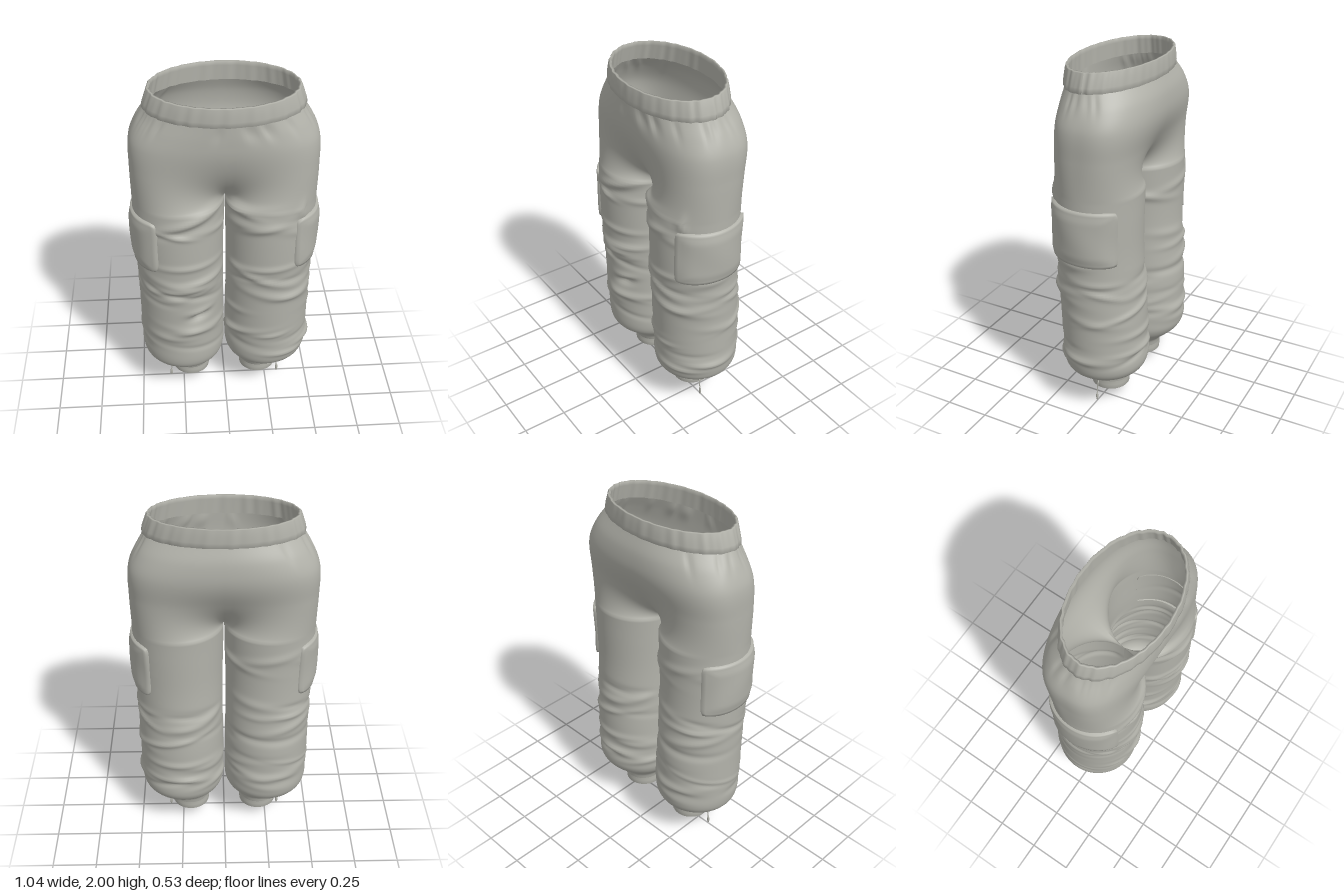
import * as THREE from 'three';

const fabric = new THREE.MeshStandardMaterial({ color: 0xb2b2aa, side: THREE.DoubleSide });
fabric.name = 'greyFabric';

// Leg profile from ankle to waist: y, outer x, inner x, front z, back z, roundness at the hips
const PROFILE = [
  [0.13, 0.308, 0.096, 0.088, -0.128, 0.7],
  [0.17, 0.325, 0.082, 0.108, -0.14, 0.7],
  [0.21, 0.405, 0.05, 0.16, -0.188, 0.7],
  [0.25, 0.462, 0.02, 0.205, -0.23, 0.7],
  [0.3, 0.482, 0.005, 0.222, -0.252, 0.7],
  [0.4, 0.487, 0.004, 0.225, -0.248, 0.7],
  [0.6, 0.487, 0.006, 0.234, -0.248, 0.7],
  [0.8, 0.489, 0.008, 0.241, -0.234, 0.7],
  [1.0, 0.494, 0.008, 0.249, -0.223, 0.7],
  [1.2, 0.498, 0.004, 0.252, -0.224, 0.7],
  [1.35, 0.498, 0.001, 0.248, -0.227, 0.7],
  [1.55, 0.5, 0, 0.248, -0.24, 0.7],
  [1.7, 0.495, 0, 0.25, -0.261, 0.75],
  [1.8, 0.457, 0, 0.253, -0.256, 0.86],
  [1.89, 0.405, 0, 0.252, -0.226, 1],
];
const BAND_TILT = 0.07;
const clamp = (v) => Math.min(1, Math.max(0, v));
const smooth = (v) => { v = clamp(v); return v * v * (3 - 2 * v); };

function seeded(seed) {
  return () => {
    seed = (seed * 1664525 + 1013904223) % 4294967296;
    return seed / 4294967296;
  };
}

// Smooth interpolation of the profile rows
function profileAt(y) {
  let i = 0;
  while (i < PROFILE.length - 2 && y > PROFILE[i + 1][0]) i++;
  const p = PROFILE[i], q = PROFILE[i + 1];
  const o = PROFILE[Math.max(0, i - 1)], r = PROFILE[Math.min(PROFILE.length - 1, i + 2)];
  const h = q[0] - p[0], t = clamp((y - p[0]) / h);
  return p.map((a, k) => {
    const m0 = ((q[k] - o[k]) / (q[0] - o[0])) * h;
    const m1 = ((r[k] - a) / (r[0] - p[0])) * h;
    const d = q[k] - a;
    return a + m0 * t + (3 * d - 2 * m0 - m1) * t * t + (m0 + m1 - 2 * d) * t * t * t;
  });
}

// Point on one trouser half; phi runs round the leg from the inner front to the inner back.
// Above the crotch the closed leg ring opens out into half of the hip ring.
function legPoint(phi, y, offset) {
  const [, xo, xi, zf, zb, e] = profileAt(y);
  const s = clamp((y - 1.34) / 0.4);
  const w = Math.pow(1 - (1 - s) * (1 - s), 0.75);
  const cx = (xo + xi) / 2, rx = (xo - xi) / 2, zc = (zf + zb) / 2, rz = (zf - zb) / 2;
  const c = Math.max(0, Math.cos(phi / 2)), sn = Math.sin(phi / 2);
  const hipX = xo * Math.pow(c, e), hipZ = Math.sign(sn) * Math.pow(Math.abs(sn), e) * rz;
  const x = (cx + rx * Math.cos(phi)) * (1 - w) + hipX * w;
  const z = rz * Math.sin(phi) * (1 - w) + hipZ * w;
  const dx = x - cx * (1 - w), len = Math.hypot(dx, z) || 1;
  const px = Math.max(xi * 0.5, x + (offset * dx) / len), pz = zc + z + (offset * z) / len;
  const seam = Math.abs(phi) > Math.PI - 1e-4 && w > 0;
  return [seam ? 0 : px, y - BAND_TILT * pz * smooth((y - 1.6) / 0.28), pz];
}

// Grid surface from a rule f(u, v); side = -1 mirrors it in x
function surface(nu, nv, f, side = 1) {
  const pos = [], idx = [];
  for (let j = 0; j <= nv; j++) {
    for (let i = 0; i <= nu; i++) {
      const [x, y, z] = f(i / nu, j / nv, i, j);
      pos.push(x * side, y, z);
      if (i === nu || j === nv) continue;
      const a = j * (nu + 1) + i, b = a + 1, c = a + nu + 1, d = c + 1;
      if (side > 0) idx.push(a, b, d, a, d, c);
      else idx.push(a, d, b, a, c, d);
    }
  }
  const g = new THREE.BufferGeometry();
  g.setAttribute('position', new THREE.Float32BufferAttribute(pos, 3));
  g.setIndex(idx);
  g.computeVertexNormals();
  return g;
}

// Cloth folds: height, angle, angular reach, slope, depth, thickness
function makeFolds(side) {
  const rnd = seeded(side > 0 ? 11 : 47);
  const folds = side > 0
    ? [[1.34, 2.5, 0.6, 0.06, 0.014, 0.022], [1.33, 0.95, 0.12, 0.3, 0.012, 0.04],
       [0.9, 1.9, 0.8, 0.07, 0.014, 0.025], [0.97, 1.7, 0.9, -0.02, 0.01, 0.018]]
    : [[1.3, 1.9, 0.8, 0.07, 0.016, 0.025], [1.24, 1.6, 0.7, 0.05, -0.01, 0.025],
       [0.64, 2.0, 0.25, 0.05, -0.025, 0.025], [0.68, 2.0, 0.3, 0.03, 0.012, 0.02],
       [0.84, 1.6, 0.9, 0.03, 0.012, 0.018], [1.0, 1.8, 0.8, 0, 0.01, 0.018]];
  const zones = [[0.32, 0.54, 16], [0.74, 0.96, 13], [1.0, 1.36, 5], [0.54, 0.74, 4]];
  for (const [lo, hi, n] of zones) {
    for (let k = 0; k < n; k++) {
      folds.push([lo + (hi - lo) * rnd(), (rnd() * 2 - 1) * 2.8, 0.35 + rnd() * 0.6,
        (rnd() - 0.5) * 0.12, (rnd() < 0.65 ? 1 : -0.7) * (0.006 + rnd() * 0.007), 0.014 + rnd() * 0.014]);
    }
  }
  // Gathers below the waistband
  for (let k = 0; k < 9; k++) {
    folds.push([1.84, (rnd() * 2 - 1) * 3, 0.07 + rnd() * 0.06, 0, -0.009, 0.05]);
  }
  return (phi, y) => folds.reduce((sum, [fy, fp, reach, slope, depth, thick]) => {
    const d = phi - fp, v = (y - fy - slope * d) / thick, u = d / reach;
    return sum + depth * Math.exp(-v * v - u * u);
  }, 0);
}

// Leg with its half of the hips
function legGeometry(side) {
  const folds = makeFolds(side);
  const g = surface(80, 150, (u, v) => {
    const phi = Math.PI * (1 - 2 * u), y = 0.13 + 1.76 * v;
    return legPoint(phi, y, folds(phi, y) * smooth((Math.PI - Math.abs(phi)) / 0.25));
  }, side);
  // Blend shading across the centre seam
  const p = g.attributes.position, n = g.attributes.normal;
  for (let i = 0; i < p.count; i++) {
    if (Math.abs(p.getX(i)) > 1e-5 || p.getY(i) < 1.4) continue;
    const l = Math.hypot(n.getY(i), n.getZ(i)) || 1;
    n.setXYZ(i, 0, n.getY(i) / l, n.getZ(i) / l);
  }
  return g;
}

// Patch pocket wrapped round the outside of the thigh
function pocketGeometry(side) {
  const N = 24;
  const inset = (i) => (i <= 1 ? i * 0.012 : i >= N - 1 ? 1 - (N - i) * 0.012 : 0.012 + ((i - 1) / (N - 2)) * 0.976);
  return surface(N, N, (u, v, i, j) => {
    const a = inset(i), b = inset(j);
    const edge = Math.min(a, 1 - a, b, 1 - b);
    const puff = edge <= 0 ? -0.006 : 0.013 + 0.009 * smooth(edge / 0.2) + 0.002 * Math.sin(9 * a + 6 * b);
    // pull the corners in so they are rounded
    const ca = Math.abs(2 * a - 1) ** 12, cb = Math.abs(2 * b - 1) ** 12;
    const phi = 0.08 + (0.5 - a) * 2 * (1 - 0.05 * cb);
    const y = 1.13 + (b - 0.5) * 0.32 * (1 - 0.06 * ca);
    return legPoint(phi, y, puff);
  }, side);
}

// Gathered waistband, closed over its top edge
function waistbandGeometry() {
  const section = [[0.403, 0.236, 1.88], [0.417, 0.246, 1.882], [0.412, 0.247, 1.91], [0.4, 0.245, 1.945],
    [0.389, 0.242, 1.978], [0.384, 0.239, 1.983], [0.374, 0.229, 1.982], [0.378, 0.23, 1.96], [0.396, 0.231, 1.88]];
  return surface(180, section.length - 1, (u, v, i, j) => {
    const a = -(i % 180) / 180 * Math.PI * 2;
    const [rx, rz, y] = section[j];
    const ripple = 1 + 0.006 * Math.sin(23 * a + 2 * Math.sin(3 * a)) + 0.004 * Math.sin(41 * a + j * 0.3);
    const z = 0.014 + rz * ripple * Math.sin(a);
    return [rx * ripple * Math.cos(a), y - BAND_TILT * z, z];
  });
}

export function createModel() {
  const model = new THREE.Group();
  model.name = 'cargoTrousers';
  const add = (name, geometry, parent = model) => {
    const mesh = new THREE.Mesh(geometry, fabric);
    mesh.name = name;
    parent.add(mesh);
    return mesh;
  };

  add('waistband', waistbandGeometry());

  for (const side of [1, -1]) {
    const half = new THREE.Group();
    half.name = side > 0 ? 'leftHalf' : 'rightHalf';
    model.add(half);
    add('leg', legGeometry(side), half);
    add('cargoPocket', pocketGeometry(side), half);

    // Elastic ankle cuff
    const cuff = [[0.099, 0.15], [0.098, 0.085], [0.102, 0.08], [0.108, 0.082], [0.109, 0.11], [0.107, 0.14], [0.112, 0.156]];
    add('ankleCuff', new THREE.LatheGeometry(cuff.map(([r, y]) => new THREE.Vector2(r, y)), 40), half)
      .position.set(side * 0.202, 0, -0.02);

    // Drawcord with a small toggle
    const cord = new THREE.CatmullRomCurve3([[0.3, 0.125], [0.316, 0.11], [0.321, 0.08], [0.327, 0.045]]
      .map(([x, y]) => new THREE.Vector3(side * x, y, 0.004)));
    add('drawcord', new THREE.TubeGeometry(cord, 12, 0.0035, 6), half);
    const toggle = add('cordToggle', new THREE.SphereGeometry(1, 12, 10), half);
    toggle.scale.set(0.008, 0.026, 0.006);
    toggle.position.set(side * 0.327, 0.026, 0.004);
  }
  return model;
}
